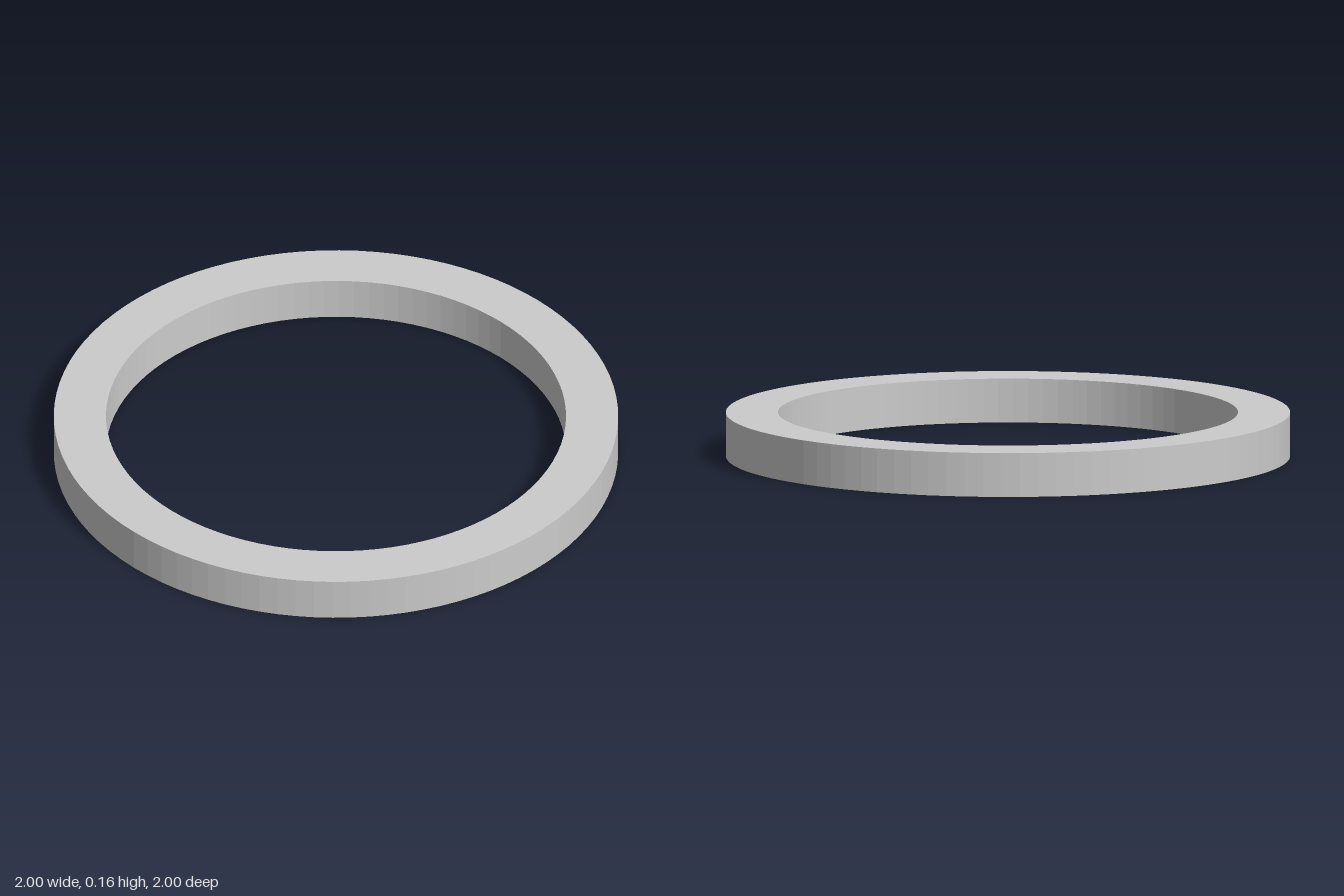
import * as THREE from 'three';

const OUTER = 1, INNER = 0.815, HEIGHT = 0.157;
const SIDES = 96, HOLE_SIDES = 32;
const HOLE_CIRCLE = (OUTER + INNER) / 2;
const RIM = 0.06, BORE = 0.048, CHAMFER = 0.012, DEPTH = 0.11;

const circle = (r, n, cx = 0, cy = 0) => Array.from({ length: n }, (_, i) => {
  const a = (i / n) * Math.PI * 2;
  return new THREE.Vector2(cx + r * Math.cos(a), cy + r * Math.sin(a));
});

const lathe = (profile, sides) =>
  new THREE.LatheGeometry(profile.map(([r, y]) => new THREE.Vector2(r, y)), sides);

export function createModel() {
  const group = new THREE.Group();
  group.name = 'ring';
  const material = new THREE.MeshStandardMaterial({ color: 0xcccccc, flatShading: true });
  const add = (name, geometry) => {
    const mesh = new THREE.Mesh(geometry, material);
    mesh.name = name;
    group.add(mesh);
    return mesh;
  };

  // Outer wall, top face and inner wall
  add('ringBody', lathe([[OUTER, 0], [OUTER, HEIGHT], [INNER, HEIGHT], [INNER, 0]], SIDES));

  // Underside, pierced by four evenly spaced holes
  const underside = new THREE.Shape(circle(OUTER, SIDES));
  underside.holes.push(new THREE.Path(circle(INNER, SIDES)));

  // Blind holes with a chamfered rim
  const holeGeometry = lathe([[0, DEPTH], [BORE, DEPTH], [BORE, CHAMFER], [RIM, 0]], HOLE_SIDES);
  for (let i = 0; i < 4; i++) {
    const a = (i * Math.PI) / 2;
    const x = HOLE_CIRCLE * Math.cos(a), z = HOLE_CIRCLE * Math.sin(a);
    underside.holes.push(new THREE.Path(circle(RIM, HOLE_SIDES, x, z)));
    add('blindHole' + (i + 1), holeGeometry).position.set(x, 0, z);
  }
  add('underside', new THREE.ShapeGeometry(underside).rotateX(Math.PI / 2));

  return group;
}
